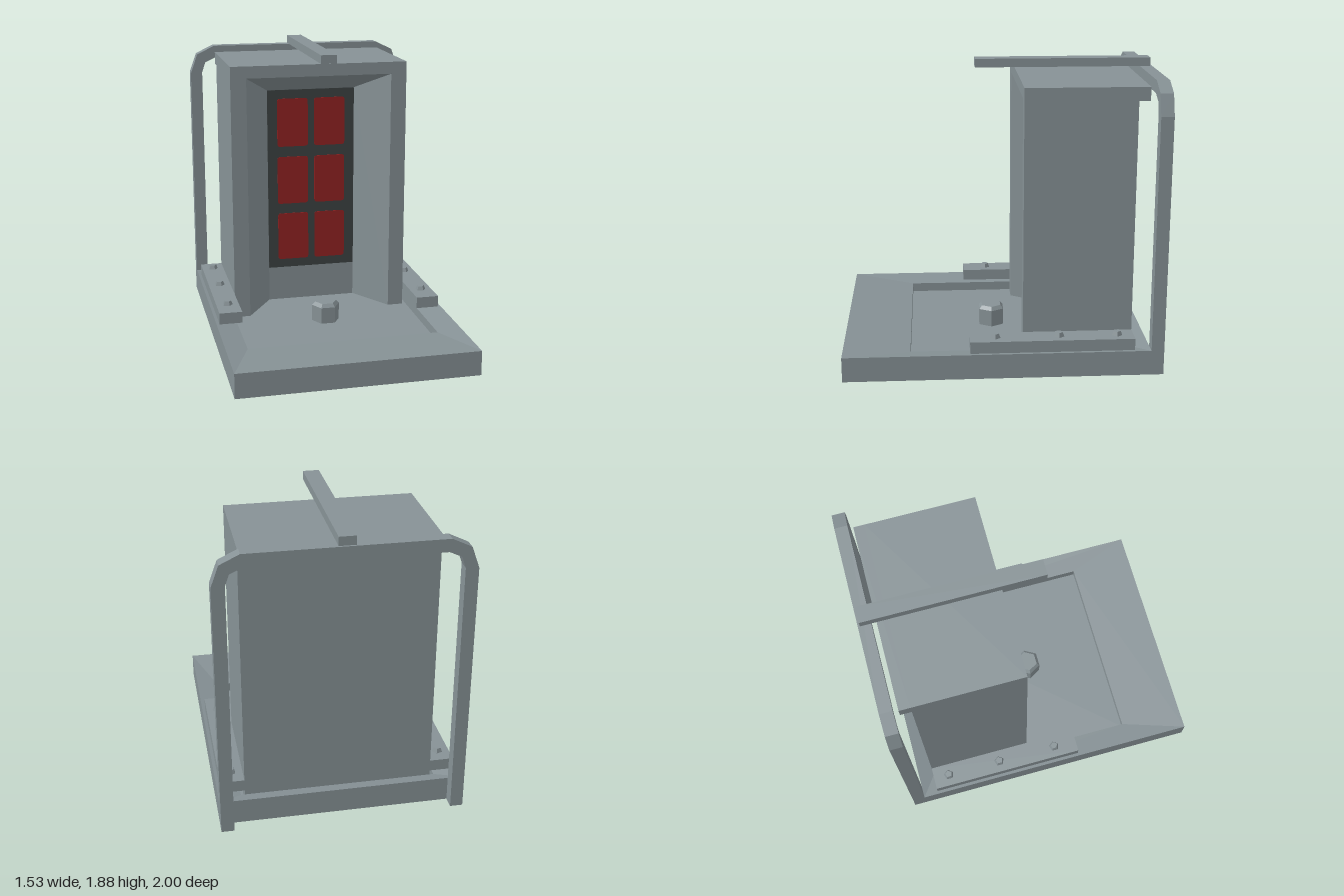
import * as THREE from 'three';

const steel = new THREE.MeshStandardMaterial({ name: 'grey steel', color: 0x869195 });
const dark = new THREE.MeshStandardMaterial({ name: 'dark door', color: 0x3d4343 });
const red = new THREE.MeshStandardMaterial({ name: 'red glass', color: 0x922323 });

// Flat-faced skin through four-point rings, capped at both ends.
function loft(rings, closed) {
  const pos = [];
  const quad = (a, b, c, d) => [a, b, c, a, c, d].forEach((p) => pos.push(...p));
  for (let i = 0; i < rings.length - 1; i++) {
    for (let j = 0; j < (closed ? 4 : 3); j++) {
      const k = (j + 1) % 4;
      quad(rings[i][j], rings[i][k], rings[i + 1][k], rings[i + 1][j]);
    }
  }
  quad(...[...rings[0]].reverse());
  quad(...rings[rings.length - 1]);
  const g = new THREE.BufferGeometry();
  g.setAttribute('position', new THREE.Float32BufferAttribute(pos, 3));
  g.computeVertexNormals();
  return g;
}

// Box given by its limits on each axis.
function block(x0, x1, y0, y1, z0, z1) {
  return new THREE.BoxGeometry(x1 - x0, y1 - y0, z1 - z0)
    .translate((x0 + x1) / 2, (y0 + y1) / 2, (z0 + z1) / 2);
}

// Faceted cylinder with hard edges.
function prism(rTop, rBottom, y0, y1, sides, turn) {
  const g = new THREE.CylinderGeometry(rTop, rBottom, y1 - y0, sides)
    .rotateY(turn).translate(0, (y0 + y1) / 2, 0).toNonIndexed();
  g.computeVertexNormals();
  return g;
}

function roundedPlate(w, h, r, depth) {
  const s = new THREE.Shape();
  const x = w / 2, y = h / 2;
  s.moveTo(-x + r, -y);
  s.lineTo(x - r, -y).quadraticCurveTo(x, -y, x, -y + r);
  s.lineTo(x, y - r).quadraticCurveTo(x, y, x - r, y);
  s.lineTo(-x + r, y).quadraticCurveTo(-x, y, -x, y - r);
  s.lineTo(-x, -y + r).quadraticCurveTo(-x, -y, -x + r, -y);
  return new THREE.ExtrudeGeometry(s, { depth, bevelEnabled: false, curveSegments: 4 });
}

export function createModel() {
  const model = new THREE.Group();
  model.name = 'doorBooth';
  const add = (name, geometry, material = steel, x = 0, y = 0, z = 0) => {
    const m = new THREE.Mesh(geometry, material);
    m.name = name;
    m.position.set(x, y, z);
    model.add(m);
    return m;
  };
  const FLOOR = 0.07;

  // Base tray: outer walls, gently sloping rim, sunken floor
  const rect = (x, y, zBack, zFront) =>
    [[-x, y, zFront], [x, y, zFront], [x, y, zBack], [-x, y, zBack]];
  add('baseTray', loft([
    rect(0.765, 0, -0.92, 1),
    rect(0.765, 0.16, -0.92, 1),
    rect(0.62, 0.13, -0.82, 0.58),
    rect(0.62, FLOOR, -0.82, 0.58),
  ], true));

  // Cabin: walls, front frame, splayed door niche
  const arch = (x, top, z) =>
    [[x, FLOOR, z], [x, top, z], [-x, top, z], [-x, FLOOR, z]];
  add('cabin', loft([
    arch(0.595, 1.79, -0.82),
    arch(0.595, 1.79, -0.13),
    arch(0.49, 1.71, -0.13),
    arch(0.305, 1.58, -0.42),
  ], false));
  add('rearLip', block(-0.595, 0.595, 1.705, 1.79, -0.89, -0.82));

  // Door with six panes
  add('door', block(-0.305, 0.305, 0.31, 1.58, -0.42, -0.414), dark);
  const pane = roundedPlate(0.215, 0.335, 0.02, 0.004);
  for (const x of [-0.13, 0.13]) {
    for (const y of [0.538, 0.944, 1.352]) add('doorPane', pane, red, x, y, -0.414);
  }

  // Rear hoop
  const outer = [[0.765, 0], [0.765, 1.64], [0.717, 1.772], [0.597, 1.83]];
  const inner = [[0.685, 0], [0.685, 1.645], [0.66, 1.715], [0.585, 1.75]];
  const mirror = (pts) => pts.map(([x, y]) => [-x, y]).reverse();
  const outline = [...outer, ...mirror(outer), ...mirror(inner).reverse(), ...[...inner].reverse()];
  const hoop = new THREE.Shape(outline.map(([x, y]) => new THREE.Vector2(x, y)));
  add('rearHoop', new THREE.ExtrudeGeometry(hoop, { depth: 0.08, bevelEnabled: false }),
    steel, 0, 0, -1);

  // Beam over the roof
  add('roofBeam', block(-0.053, 0.05, 1.83, 1.885, -0.987, 0.143));

  // Side rails with bolts
  const bolt = prism(0.024, 0.035, 0.235, 0.262, 5, Math.PI / 2);
  for (const side of [-1, 1]) {
    add('sideRail', block(-0.075, 0.075, 0.16, 0.235, -0.82, 0.208), steel, side * 0.67);
    for (const z of [-0.715, -0.35, 0.05]) add('railBolt', bolt, steel, side * 0.67, 0, z);
  }

  // Hexagonal floor knob with a chamfered top
  add('floorKnob', prism(0.093, 0.093, FLOOR, 0.18, 6, Math.PI / 6), steel, 0, 0, 0.04);
  add('floorKnobTop', prism(0.072, 0.093, 0.18, 0.203, 6, Math.PI / 6), steel, 0, 0, 0.04);

  return model;
}
